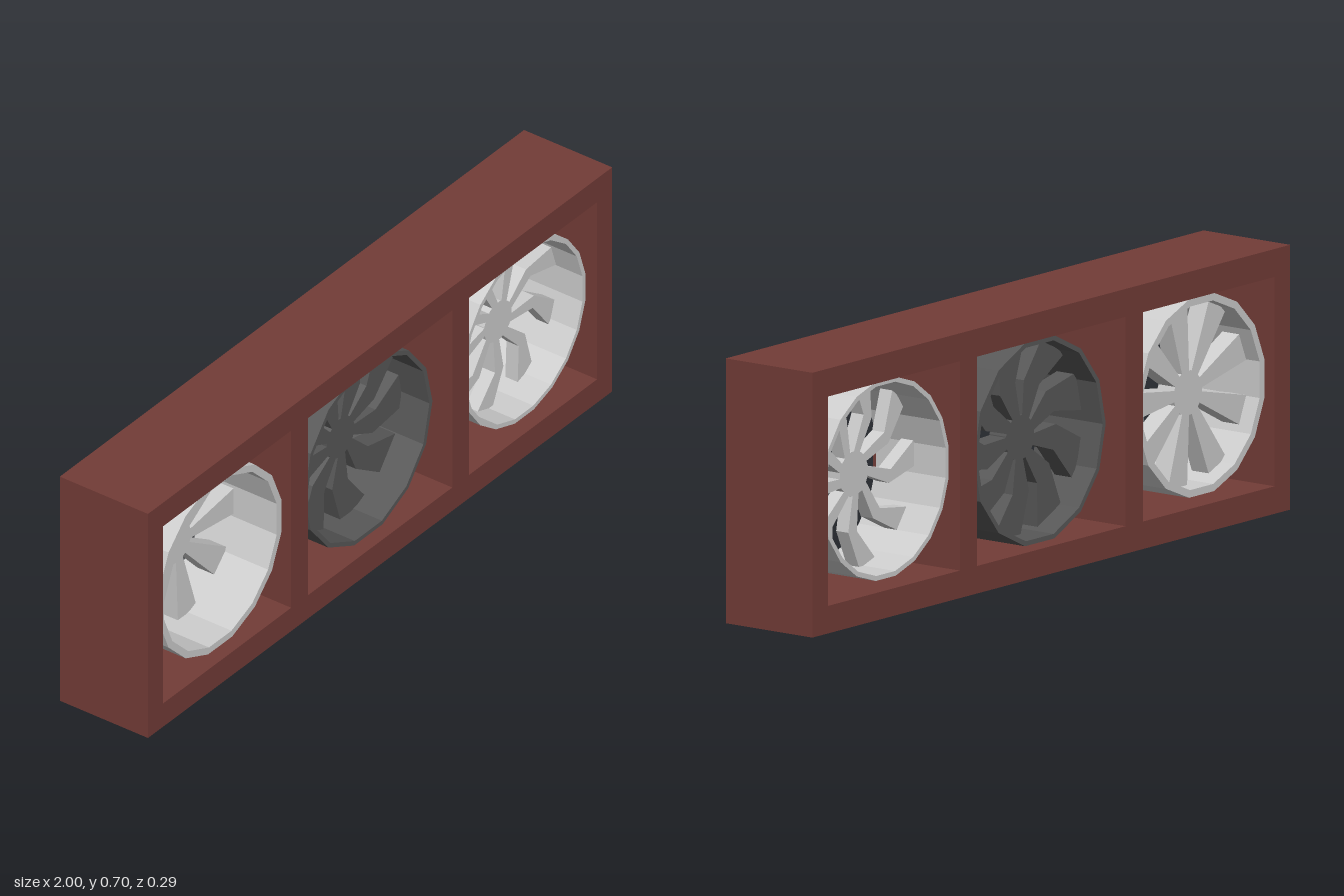
import * as THREE from 'three';

const paint = (name, color) => {
  const m = new THREE.MeshStandardMaterial({ color });
  m.name = name;
  return m;
};

// point at radius r, angle in degrees clockwise from the top
const polar = (r, deg) => {
  const a = THREE.MathUtils.degToRad(deg);
  return new THREE.Vector2(r * Math.sin(a), r * Math.cos(a));
};

// counter-clockwise polygon
const polygon = (r, sides) =>
  Array.from({ length: sides }, (_, i) => polar(r, -(i + 0.5) * 360 / sides));

// flat shape extruded between two depths
function slab(name, shape, z0, z1, material) {
  const geo = new THREE.ExtrudeGeometry(shape, { depth: z1 - z0, bevelEnabled: false });
  geo.translate(0, 0, z0);
  const mesh = new THREE.Mesh(geo, material);
  mesh.name = name;
  return mesh;
}

// blade outline from stations [radius, angle, half width]
function bladeShape(stations, turn) {
  const edge = (side) => stations.map(([r, a, w]) =>
    polar(r, turn + a + side * THREE.MathUtils.radToDeg(w / r)));
  return new THREE.Shape([...edge(1), ...edge(-1).reverse()]);
}

// barrel ring, hub disc and nine blades
function wheel(o) {
  const g = new THREE.Group();
  g.name = o.name;
  const ring = new THREE.Shape(polygon(o.radius, o.sides));
  ring.holes.push(new THREE.Path(polygon(o.radius - o.rim, o.sides)));
  g.add(slab('barrel', ring, -o.half, o.half, o.material));
  g.add(slab('hub', new THREE.Shape(polygon(0.06, 16)), o.z0, o.z1, o.material));
  for (let i = 0; i < 9; i++) {
    g.add(slab('blade', bladeShape(o.blade, i * 40), o.z0, o.z1, o.material));
  }
  g.position.set(o.x, o.y, 0);
  return g;
}

export function createModel() {
  const model = new THREE.Group();
  const brown = paint('red brown', 0x733c37);
  const silver = paint('light grey', 0xcecece);
  const dark = paint('dark grey', 0x585858);

  // case with three square openings
  const rect = (C, x0, x1, y0, y1) => new C([
    new THREE.Vector2(x0, y0), new THREE.Vector2(x1, y0),
    new THREE.Vector2(x1, y1), new THREE.Vector2(x0, y1)]);
  const face = rect(THREE.Shape, -1, 1, 0, 0.702);
  for (const [a, b] of [[-0.935, -0.383], [-0.311, 0.311], [0.383, 0.935]]) {
    face.holes.push(rect(THREE.Path, a, b, 0.073, 0.628));
  }
  model.add(slab('case', face, -0.143, 0.143, brown));

  // straight spokes
  model.add(wheel({
    name: 'straightWheel', x: -0.658, y: 0.358, radius: 0.268, rim: 0.02, sides: 16,
    half: 0.12, z0: -0.075, z1: -0.02, material: silver,
    blade: [[0.05, 10, 0.014], [0.25, 10, 0.04]],
  }));
  // broad swept blades
  model.add(wheel({
    name: 'darkWheel', x: 0, y: 0.347, radius: 0.276, rim: 0.013, sides: 14,
    half: 0.105, z0: -0.04, z1: 0.015, material: dark,
    blade: [[0.05, 15, 0.014], [0.15, 21, 0.034], [0.265, 8, 0.055]],
  }));
  // slim blades swept the other way
  model.add(wheel({
    name: 'sweptWheel', x: 0.658, y: 0.359, radius: 0.267, rim: 0.013, sides: 20,
    half: 0.115, z0: -0.01, z1: 0.03, material: silver,
    blade: [[0.05, -10, 0.012], [0.155, -22, 0.018], [0.257, -7, 0.035]],
  }));
  return model;
}
